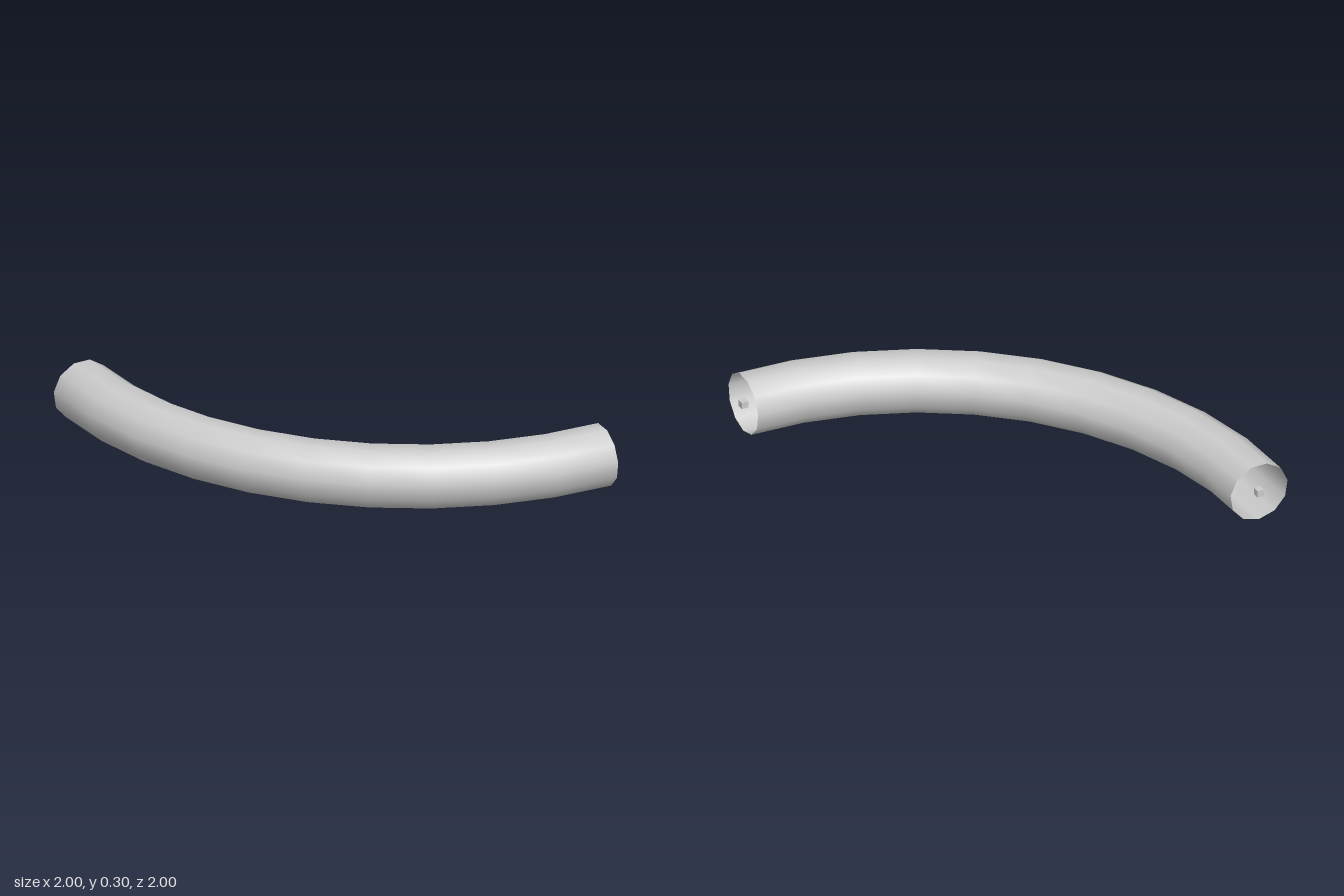
import * as THREE from 'three';

const SIDES = 11, STEPS = 10;
const TUBE = 0.155;    // pipe radius
const BEND = 1.8285;   // bend radius of the centre line
const C = 0.982;       // bend centre at (C, -C)
const PIN = 0.035;

export function createModel() {
  const model = new THREE.Group();
  const pipeMat = new THREE.MeshStandardMaterial({ color: 0xcccccc, side: THREE.DoubleSide });
  const pinMat = new THREE.MeshStandardMaterial({ color: 0xcccccc });

  // Open quarter-bend pipe: an 11-sided section, one corner down, swept round the bend centre
  const section = [];
  for (let i = 0; i <= SIDES; i++) {
    const a = -Math.PI / 2 + (i / SIDES) * Math.PI * 2;
    section.push(new THREE.Vector2(BEND + TUBE * Math.cos(a), TUBE * Math.sin(a)));
  }
  const geo = new THREE.LatheGeometry(section, STEPS, -Math.PI / 2, Math.PI / 2);

  // Round normals, pointing away from the centre line, so the seam stays smooth
  const pos = geo.attributes.position;
  const p = new THREE.Vector3(), axis = new THREE.Vector3();
  for (let i = 0; i < pos.count; i++) {
    p.fromBufferAttribute(pos, i);
    axis.set(p.x, 0, p.z).setLength(BEND);
    p.sub(axis).normalize();
    geo.attributes.normal.setXYZ(i, p.x, p.y, p.z);
  }
  const pipe = new THREE.Mesh(geo, pipeMat);
  pipe.name = 'bentPipe';
  pipe.position.set(C, TUBE, -C);
  model.add(pipe);

  // Small blocks strung along the centre line, the end ones poking out of the openings
  const pins = new THREE.Group();
  pins.name = 'pathBlocks';
  const pinGeo = new THREE.BoxGeometry(PIN, PIN, PIN);
  for (let i = 0; i <= STEPS; i++) {
    const phi = -Math.PI / 2 + (i / STEPS) * Math.PI / 2;
    const pin = new THREE.Mesh(pinGeo, pinMat);
    pin.name = 'pathBlock';
    pin.position.set(C + BEND * Math.sin(phi), TUBE, -C + BEND * Math.cos(phi));
    pin.rotation.y = phi;
    pins.add(pin);
  }
  model.add(pins);
  return model;
}
